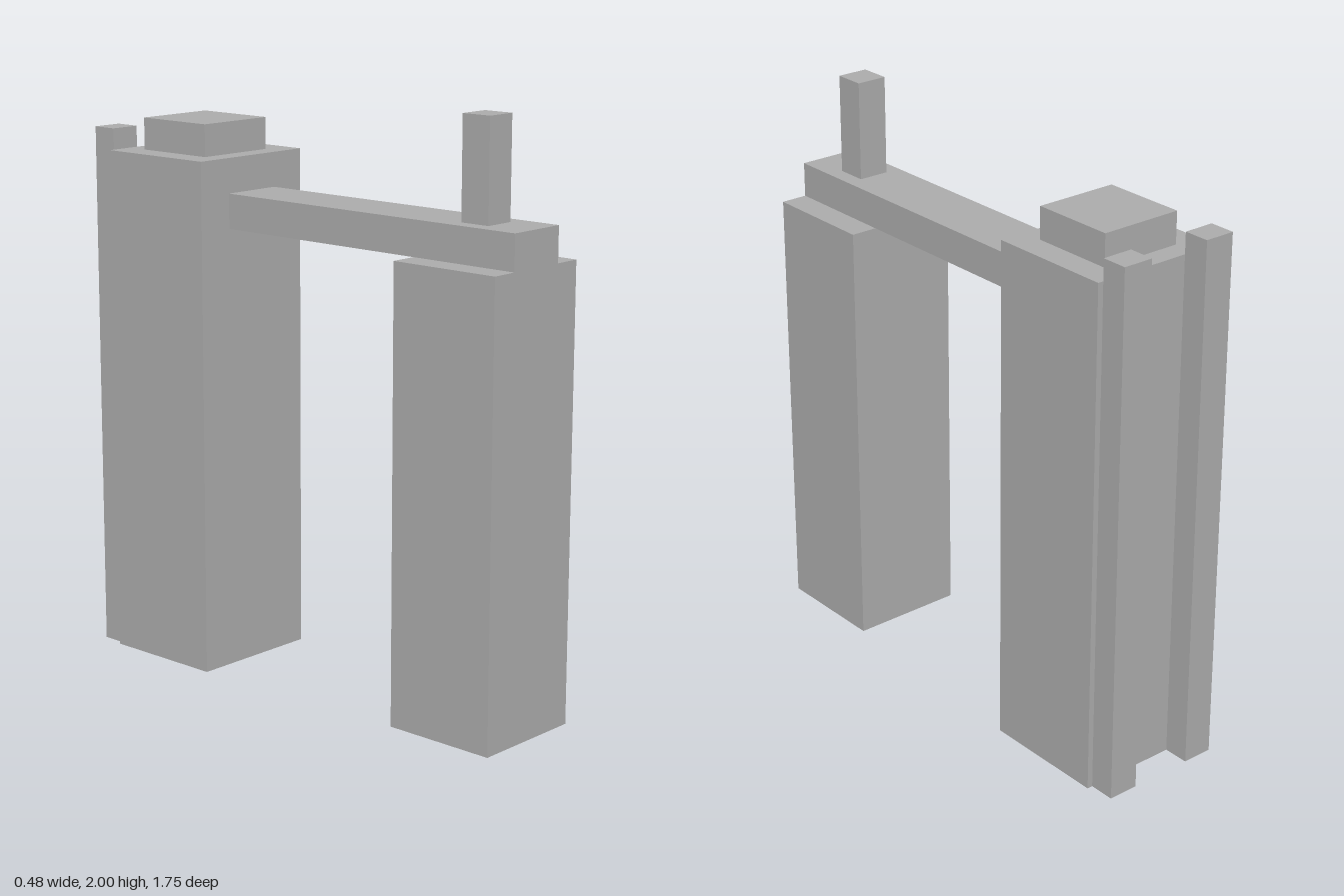
import * as THREE from 'three';

const concrete = new THREE.MeshStandardMaterial({ color: 0xaaaaaa, side: THREE.DoubleSide });
concrete.name = 'concrete grey';

// Box given by its extents; an open box has no underside
function block(name, [x0, x1], [y0, y1], [z0, z1], open = true) {
  const geometry = new THREE.BoxGeometry(x1 - x0, y1 - y0, z1 - z0);
  if (open) {
    const index = Array.from(geometry.index.array);
    index.splice(18, 6); // the underside's two triangles
    geometry.setIndex(index);
    geometry.clearGroups();
  }
  geometry.translate((x0 + x1) / 2, (y0 + y1) / 2, (z0 + z1) / 2);
  const mesh = new THREE.Mesh(geometry, concrete);
  mesh.name = name;
  return mesh;
}

export function createModel() {
  const model = new THREE.Group();
  model.name = 'twinTowers';

  // Front tower with the chimney standing over it
  model.add(block('frontTower', [-0.204, 0.202], [0, 1.54], [0.473, 0.877]));
  model.add(block('chimney', [-0.056, 0.053], [1.66, 2], [0.622, 0.73]));

  // Bridge from the front tower to the face of the rear tower
  model.add(block('bridge', [-0.11, 0.108], [1.54, 1.66], [-0.342, 0.877], false));

  // Rear tower with its roof cap
  model.add(block('rearTower', [-0.24, 0.238], [0, 1.78], [-0.786, -0.342]));
  model.add(block('roofCap', [-0.148, 0.145], [1.78, 1.89], [-0.711, -0.416]));

  // Two shafts up the back of the rear tower
  model.add(block('rightShaft', [-0.222, -0.114], [0, 1.853], [-0.877, -0.786]));
  model.add(block('leftShaft', [0.11, 0.218], [0, 1.853], [-0.877, -0.786]));

  return model;
}
